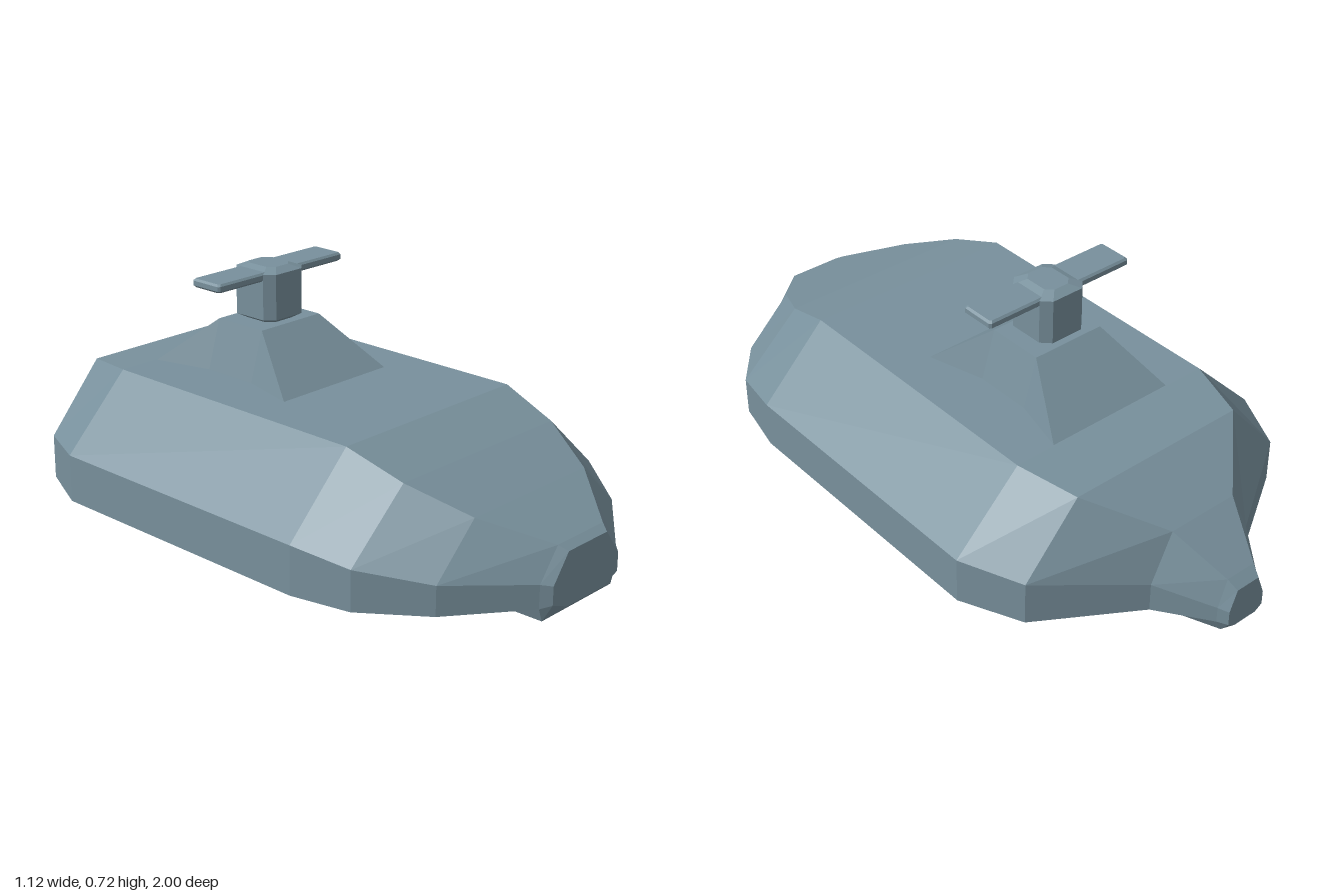
import * as THREE from 'three';

const material = new THREE.MeshStandardMaterial({ color: 0x78909c, flatShading: true });

// Skin a list of equal-length rings and cap both ends; zero-area faces are skipped.
function loft(name, rings) {
  const pos = [];
  const tri = (a, b, c) => {
    const area = new THREE.Triangle(a, b, c).getArea();
    if (area > 1e-7) for (const p of [a, b, c]) pos.push(p.x, p.y, p.z);
  };
  const n = rings[0].length;
  for (let i = 0; i < rings.length - 1; i++) {
    const r = rings[i], s = rings[i + 1];
    for (let j = 0; j < n; j++) {
      const k = (j + 1) % n;
      tri(r[j], r[k], s[j]);
      tri(r[k], s[k], s[j]);
    }
  }
  const first = rings[0], last = rings[rings.length - 1];
  for (let j = 1; j < n - 1; j++) {
    tri(first[0], first[j + 1], first[j]);
    tri(last[0], last[j], last[j + 1]);
  }
  const geometry = new THREE.BufferGeometry();
  geometry.setAttribute('position', new THREE.Float32BufferAttribute(pos, 3));
  geometry.computeVertexNormals();
  const mesh = new THREE.Mesh(geometry, material);
  mesh.name = name;
  return mesh;
}

const V = (x, y, z) => new THREE.Vector3(x, y, z);
const MID = -0.18; // z of the mast axis

// Hull cross-section: keel, chine, shoulder and deck edge, mirrored in x
function hullRing([z, keel, keelY, side, chineY, shoulderY, deck, deckY]) {
  const half = [[keel, keelY], [side, chineY], [side, shoulderY], [deck, deckY]];
  return [
    ...half.map(([x, y]) => V(x, y, z)),
    ...half.reverse().map(([x, y]) => V(-x, y, z)),
  ];
}

// Chamfered rectangle at height y
function bevelRing(y, hx, hz, c) {
  const pts = [[hx, hz - c], [hx, c - hz], [hx - c, -hz], [c - hx, -hz],
    [-hx, c - hz], [-hx, hz - c], [c - hx, hz], [hx - c, hz]];
  return pts.map(([x, z]) => V(x, y, MID + z));
}

// Ring built from one corner's three points, mirrored into all four corners
function cornerRing(y, corner) {
  const ring = [];
  for (const [sx, sz] of [[1, 1], [1, -1], [-1, -1], [-1, 1]]) {
    const pts = sx * sz > 0 ? corner : [...corner].reverse();
    for (const [x, z] of pts) ring.push(V(sx * x, y, MID + sz * z));
  }
  return ring;
}

export function createModel() {
  const model = new THREE.Group();
  model.name = 'lowHullCraft';

  // Hull, tail to bow: z, keel x/y, side x, chine y, shoulder y, deck x/y
  model.add(loft('hull', [
    [-1.0, 0.04, 0.025, 0.065, 0.04, 0.085, 0.04, 0.15],
    [-0.97, 0.06, 0, 0.08, 0.04, 0.09, 0.05, 0.175],
    [-0.82, 0.12, 0, 0.185, 0.04, 0.13, 0.115, 0.28],
    [-0.64, 0.16, 0, 0.475, 0.04, 0.175, 0.295, 0.38],
    [-0.455, 0.16, 0, 0.56, 0.04, 0.185, 0.345, 0.4],
    [0.455, 0.16, 0, 0.56, 0.04, 0.185, 0.345, 0.4],
    [0.635, 0.16, 0, 0.52, 0.04, 0.16, 0.32, 0.34],
    [0.81, 0.16, 0, 0.388, 0.04, 0.128, 0.24, 0.27],
    [0.975, 0.155, 0, 0.17, 0.04, 0.11, 0.1, 0.2],
    [1.0, 0.08, 0.025, 0.145, 0.05, 0.105, 0.085, 0.185],
  ].map(hullRing)));

  // Pedestal with a waisted base flaring into four corner buttresses
  model.add(loft('pedestal', [
    cornerRing(0.395, [[0.07, 0.272], [0.213, 0.272], [0.165, 0.09]]),
    cornerRing(0.4, [[0.07, 0.272], [0.213, 0.272], [0.165, 0.09]]),
    cornerRing(0.55, [[0.12, 0.09], [0.12, 0.09], [0.12, 0.09]]),
  ]));

  // Bevelled mast head
  model.add(loft('mastHead', [
    bevelRing(0.548, 0.05, 0.055, 0.02),
    bevelRing(0.565, 0.08, 0.083, 0.027),
    bevelRing(0.703, 0.08, 0.083, 0.027),
    bevelRing(0.717, 0.045, 0.055, 0.02),
  ]));

  // Flat crossbar with slightly rounded ends
  model.add(loft('crossbar', [
    bevelRing(0.682, 0.25, 0.05, 0.006),
    bevelRing(0.688, 0.256, 0.056, 0.006),
    bevelRing(0.702, 0.256, 0.056, 0.006),
    bevelRing(0.708, 0.25, 0.05, 0.006),
  ]));

  return model;
}
